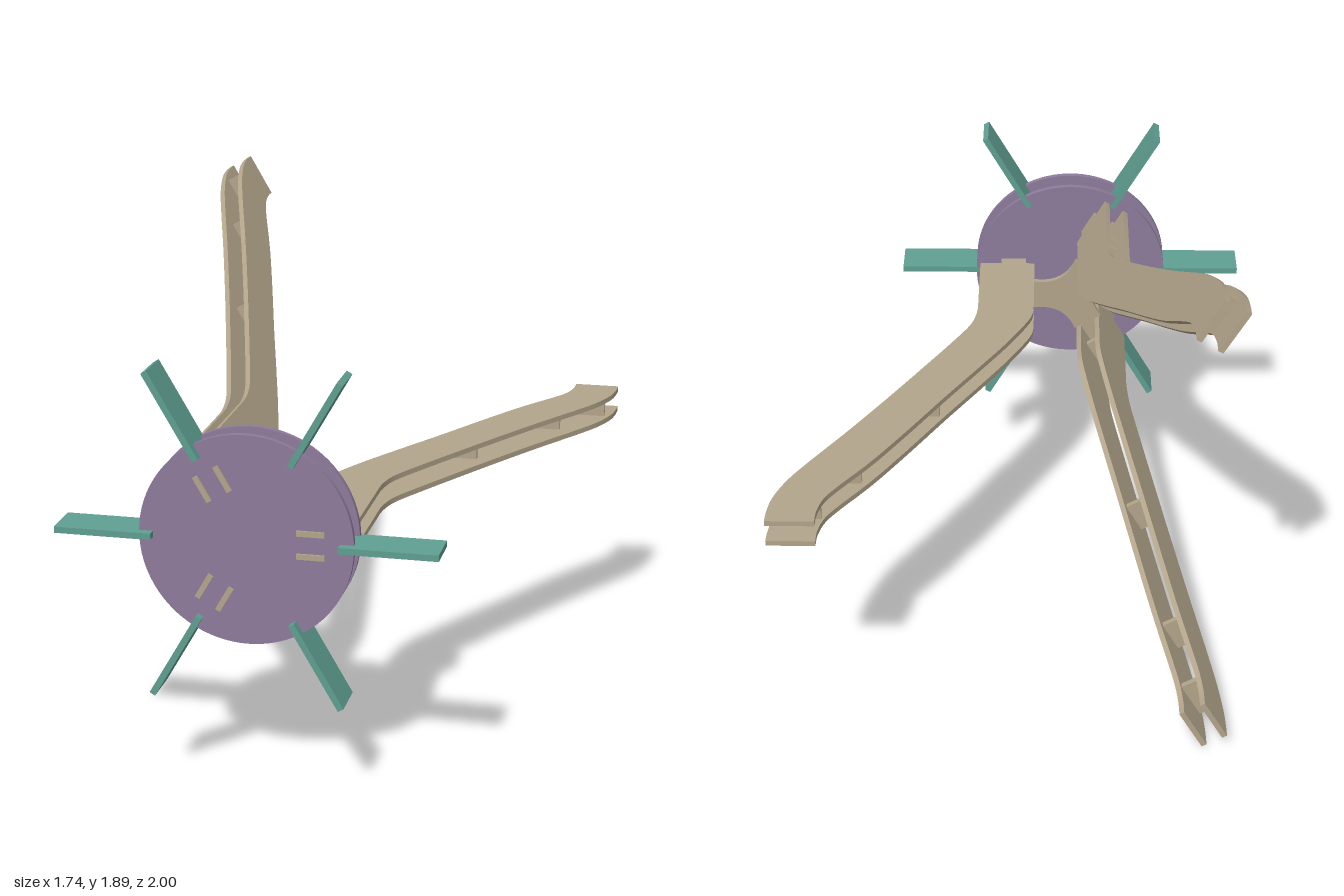
import * as THREE from 'three';
import { toCreasedNormals } from 'three/addons/utils/BufferGeometryUtils.js';

const CX = -0.19, CY = 0.95;          // axis of the wheel
const PLATE = 0.02, OFFSET = 0.042;   // plate thickness, distance from leg mid-plane

const wood = new THREE.MeshStandardMaterial({ color: 0xb3a58b });
const violet = new THREE.MeshStandardMaterial({ color: 0x8d7b9c });
const teal = new THREE.MeshStandardMaterial({ color: 0x5f9f91 });

function addMesh(parent, name, geometry, material, x = 0, y = 0, z = 0) {
  const mesh = new THREE.Mesh(geometry, material);
  mesh.name = name;
  mesh.position.set(x, y, z);
  parent.add(mesh);
  return mesh;
}

function slab(shape, depth) {
  const geo = new THREE.ExtrudeGeometry(shape, { depth, bevelEnabled: false, curveSegments: 10 });
  geo.translate(0, 0, -depth / 2);
  return toCreasedNormals(geo, 0.5);
}

// Side plate outline: x is the distance from the axis, y becomes z
function legShape() {
  const v = (x, y) => new THREE.Vector2(x, y);
  const s = new THREE.Shape();
  s.moveTo(0.145, 0.45);
  s.lineTo(0.145, 0.8);
  s.quadraticCurveTo(0.145, 0.81, 0.155, 0.81);
  // tab that passes through the discs
  s.lineTo(0.18, 0.81);
  s.lineTo(0.18, 0.975);
  s.lineTo(0.28, 0.975);
  s.lineTo(0.28, 0.81);
  s.lineTo(0.355, 0.81);
  s.quadraticCurveTo(0.365, 0.81, 0.365, 0.8);
  s.lineTo(0.365, 0.45);
  // outer edge sweeping to the foot
  s.splineThru([v(0.372, 0.39), v(0.395, 0.31), v(0.465, 0.175), v(0.562, 0), v(0.675, -0.2),
    v(0.81, -0.43), v(0.94, -0.64), v(1.005, -0.755), v(1.045, -0.86), v(1.058, -0.94), v(1.06, -1)]);
  s.lineTo(0.887, -1);
  // inner edge back to the hub
  s.splineThru([v(0.885, -0.94), v(0.868, -0.87), v(0.83, -0.8), v(0.715, -0.63), v(0.6, -0.435),
    v(0.468, -0.2), v(0.352, 0), v(0.25, 0.18), v(0.185, 0.31), v(0.153, 0.39), v(0.145, 0.45)]);
  return s;
}

// Three-armed spider holding the legs together
function hubShape() {
  const s = new THREE.Shape();
  const inner = OFFSET - PLATE / 2, wide = OFFSET + PLATE / 2 + 0.008;
  for (let i = 0; i < 3; i++) {
    const a = i * Math.PI * 2 / 3;
    const at = (r, t) => [r * Math.cos(a) - t * Math.sin(a), r * Math.sin(a) + t * Math.cos(a)];
    const first = at(0.145, -wide);
    if (i === 0) s.moveTo(...first);
    for (const [r, t] of [[0.145, -inner], [0.3, -inner], [0.3, inner], [0.145, inner], [0.145, wide]])
      s.lineTo(...at(r, t));
    // concave web to the next arm
    const m = a + Math.PI / 3, b = a + Math.PI * 2 / 3;
    const end = [0.145 * Math.cos(b) + wide * Math.sin(b), 0.145 * Math.sin(b) - wide * Math.cos(b)];
    s.quadraticCurveTo(0.05 * Math.cos(m), 0.05 * Math.sin(m), ...end);
  }
  return s;
}

export function createModel() {
  const model = new THREE.Group();
  model.name = 'finnedWheelTripod';
  const wheel = new THREE.Group();
  wheel.name = 'wheelAssembly';
  wheel.position.set(CX, CY, 0);
  model.add(wheel);

  // Pair of discs
  const disc = new THREE.CylinderGeometry(0.382, 0.382, 0.021, 96).rotateX(Math.PI / 2);
  addMesh(wheel, 'frontDisc', disc, violet, 0, 0, 0.957);
  addMesh(wheel, 'rearDisc', disc, violet, 0, 0, 0.859);

  // Six radial fins
  const fin = new THREE.BoxGeometry(0.35, 0.023, 0.152).translate(0.507, 0, 0.924);
  for (let i = 0; i < 6; i++)
    addMesh(wheel, 'fin', fin, teal).rotation.z = i * Math.PI / 3;

  // Three legs, each two plates joined by cross struts
  const plate = slab(legShape(), PLATE).rotateX(Math.PI / 2);
  const struts = [[0.25, 0.58, 0.11], [0.55, -0.195, 0.12], [0.81, -0.637, 0.12], [0.95, -0.857, 0.145]];
  for (let i = 0; i < 3; i++) {
    const leg = new THREE.Group();
    leg.name = 'leg';
    leg.rotation.z = i * Math.PI * 2 / 3;
    for (const side of [-1, 1])
      addMesh(leg, 'legPlate', plate, wood, 0, side * OFFSET, 0);
    for (const [r, z, width] of struts)
      addMesh(leg, 'crossStrut', new THREE.BoxGeometry(width, 2 * OFFSET - PLATE, 0.021), wood, r, 0, z);
    wheel.add(leg);
  }

  addMesh(wheel, 'legSpider', slab(hubShape(), 0.021), wood, 0, 0, 0.658);
  return model;
}
